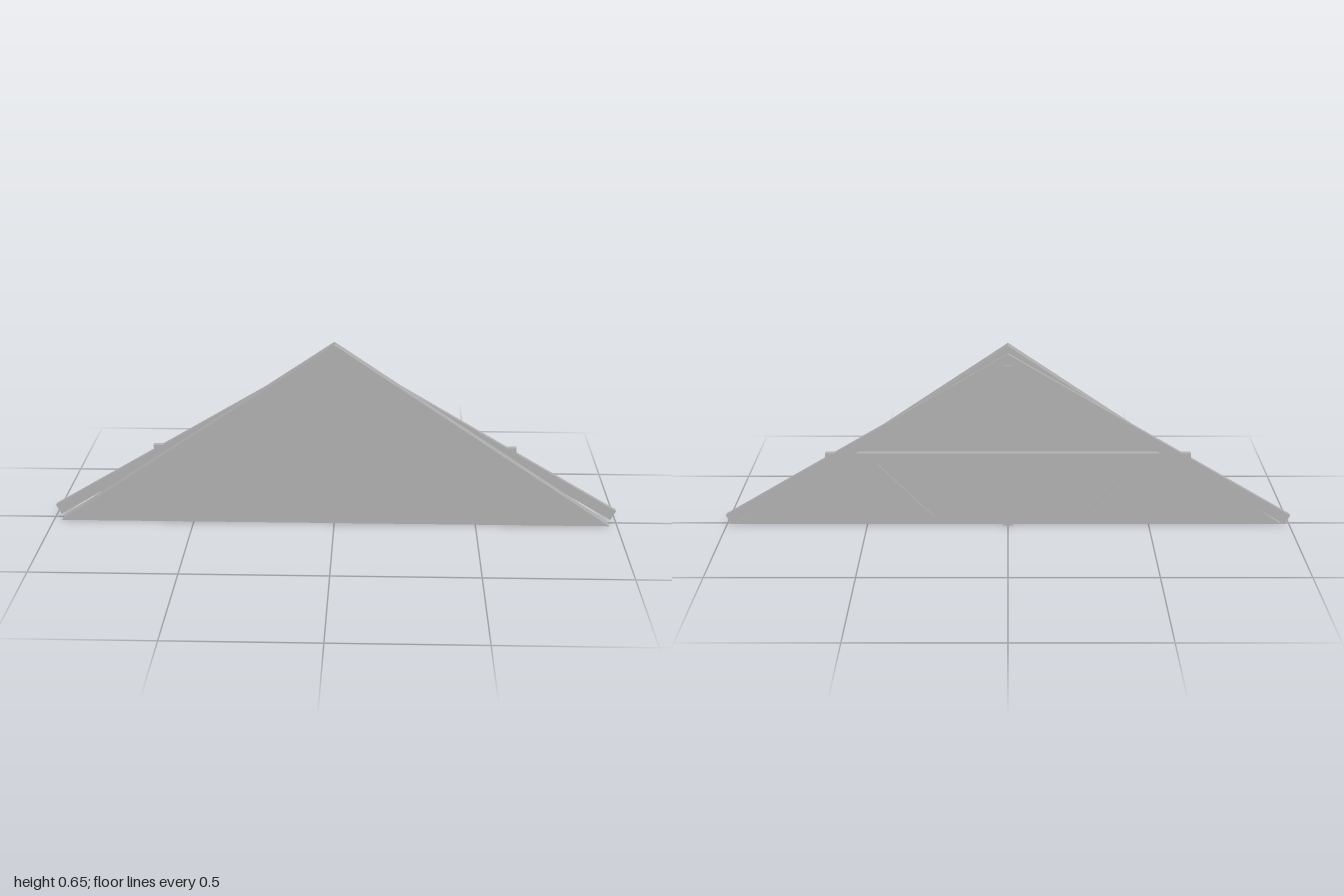
import * as THREE from 'three';

const grey = new THREE.MeshStandardMaterial({ color: 0xb0b0b0 });
grey.name = 'plain grey';

// Extrudes an outline in the xy plane between two depths
function plate(name, points, zBack, zFront) {
  const shape = new THREE.Shape(points.map(([x, y]) => new THREE.Vector2(x, y)));
  const geometry = new THREE.ExtrudeGeometry(shape, { depth: zFront - zBack, bevelEnabled: false });
  geometry.translate(0, 0, zBack);
  const mesh = new THREE.Mesh(geometry, grey);
  mesh.name = name;
  return mesh;
}

// Straight timber between two points, with square ends
function timber(name, [x1, y1], [x2, y2], width, zBack, zFront) {
  const length = Math.hypot(x2 - x1, y2 - y1);
  const geometry = new THREE.BoxGeometry(length, width, zFront - zBack);
  const mesh = new THREE.Mesh(geometry, grey);
  mesh.position.set((x1 + x2) / 2, (y1 + y2) / 2, (zBack + zFront) / 2);
  mesh.rotation.z = Math.atan2(y2 - y1, x2 - x1);
  mesh.name = name;
  return mesh;
}

export function createModel() {
  const group = new THREE.Group();
  group.name = 'gableTruss';

  // Solid triangular gable wall
  group.add(plate('gablePanel', [[-0.972, 0], [0.972, 0], [0, 0.655]], -0.012, 0.033));

  // Pair of rafters meeting at the ridge, with square-cut eaves
  for (const side of [-1, 1]) {
    const outline = [[0, 0.588], [0.981, 0.007], [1, 0.04], [0, 0.63]];
    group.add(plate(side > 0 ? 'leftRafter' : 'rightRafter',
      outline.map(([x, y]) => [side * x, y]), -0.031, -0.0095));
  }

  // Collar beam, its ends poking past the rafters
  group.add(timber('collarBeam', [-0.64, 0.254], [0.64, 0.254], 0.036, -0.032, -0.01));

  // Upper and lower king posts
  group.add(timber('upperPost', [0, 0.5], [0, 0.592], 0.034, -0.0325, -0.01));
  group.add(timber('lowerPost', [0, 0.003], [0, 0.25], 0.034, -0.0315, -0.01));

  // Shallow diagonal braces
  for (const side of [-1, 1]) {
    group.add(timber(side > 0 ? 'leftBrace' : 'rightBrace',
      [side * 0.275, 0.018], [side * 0.505, 0.248], 0.036, -0.02, -0.01));
  }
  return group;
}
